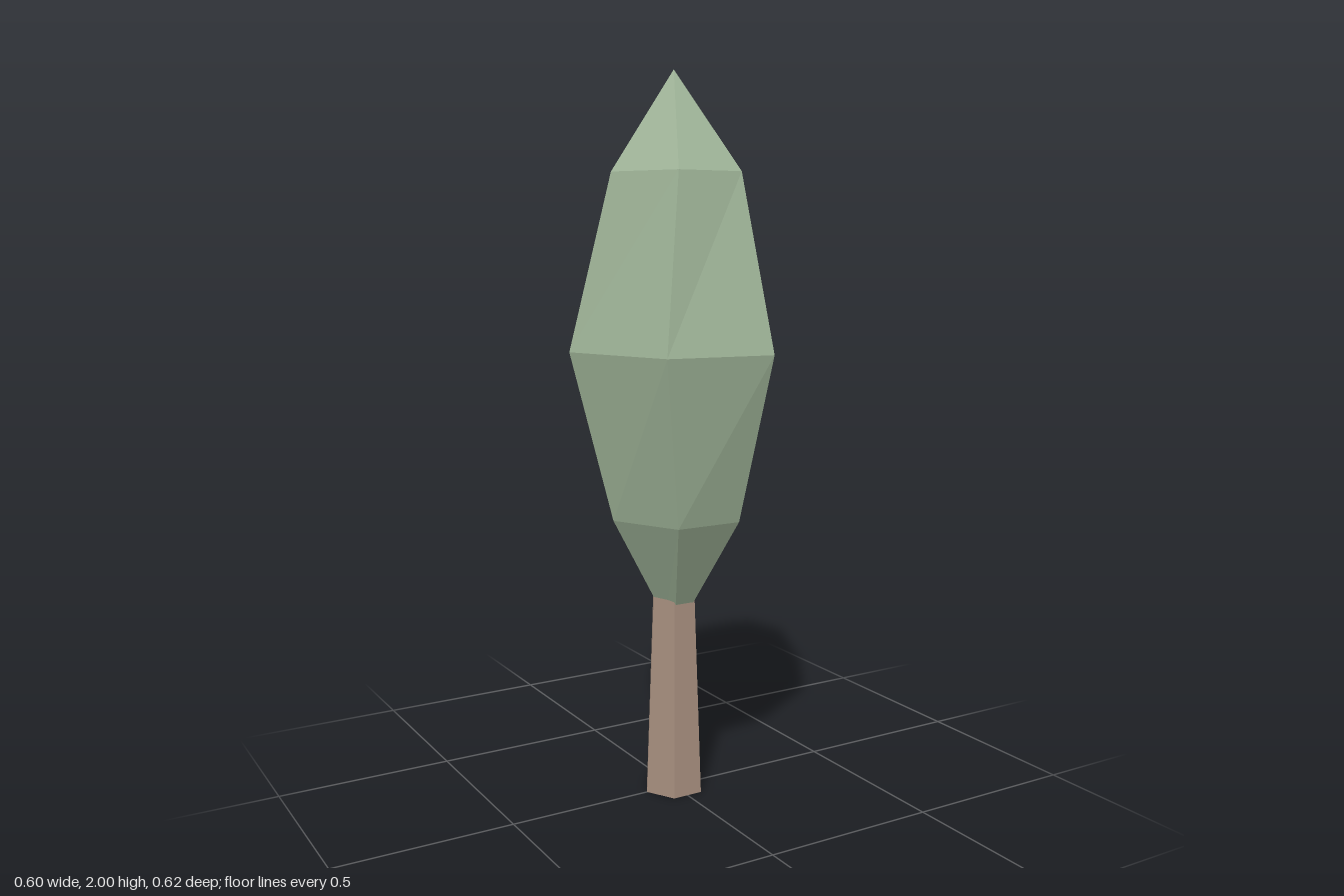
import * as THREE from 'three';

const SIDES = 6;

// Six-sided tube whose rows, from top to bottom, are [y, x radius, z radius, twist]
function hexTube(rows, closed) {
  const geo = new THREE.CylinderGeometry(1, 1, 2, SIDES, rows.length - 1, !closed);
  const pos = geo.attributes.position;
  for (let i = 0; i < pos.count; i++) {
    const row = Math.round((1 - pos.getY(i)) / 2 * (rows.length - 1));
    const [y, rx, rz, twist = 0] = rows[row];
    const r = Math.hypot(pos.getX(i), pos.getZ(i));
    const a = Math.atan2(pos.getZ(i), pos.getX(i)) + Math.PI / 2 + twist;
    pos.setXYZ(i, r * rx * Math.cos(a), y, r * rz * Math.sin(a));
  }
  const flat = geo.toNonIndexed();
  flat.computeVertexNormals();
  return flat;
}

export function createModel() {
  const leafGreen = new THREE.MeshStandardMaterial({ color: 0x9db296, flatShading: true });
  leafGreen.name = 'leafGreen';
  const barkBrown = new THREE.MeshStandardMaterial({ color: 0xa68e7e, flatShading: true });
  barkBrown.name = 'barkBrown';

  const tree = new THREE.Group();
  tree.name = 'tree';

  // Crown: pointed top, twisted wide middle, narrowing into the trunk
  const crown = new THREE.Mesh(hexTube([
    [2.0, 0, 0],
    [1.73, 0.19, 0.216],
    [1.26, 0.3, 0.338, 0.112],
    [0.8, 0.19, 0.216],
    [0.5, 0.027, 0.036],
  ], false), leafGreen);
  crown.name = 'crown';

  // Trunk: tapered and closed at both ends
  const trunk = new THREE.Mesh(hexTube([
    [0.59, 0.064, 0.068],
    [0, 0.088, 0.09],
  ], true), barkBrown);
  trunk.name = 'trunk';

  tree.add(crown, trunk);
  return tree;
}
